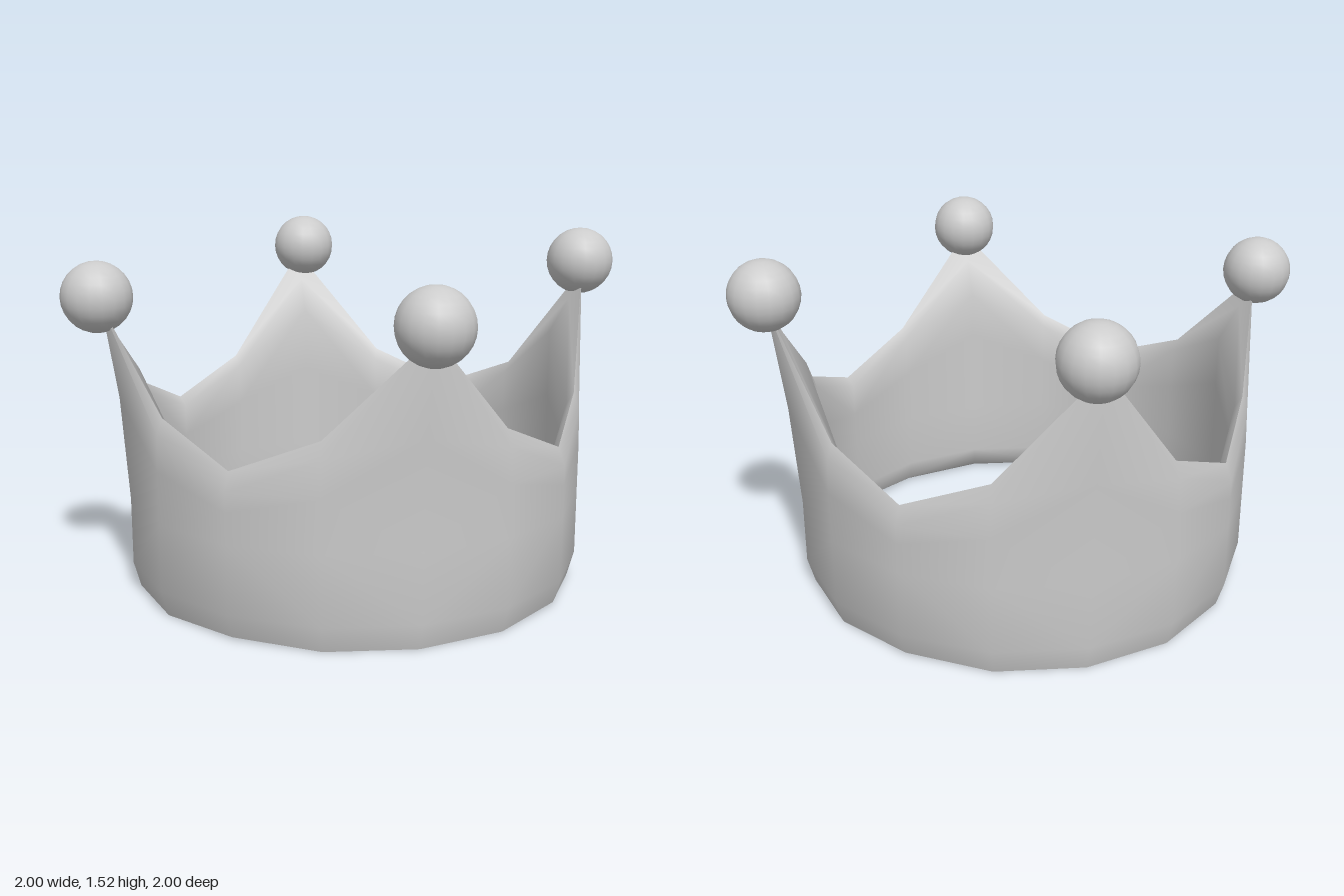
import * as THREE from 'three';
import { toCreasedNormals } from 'three/addons/utils/BufferGeometryUtils.js';

const SIDES = 16;

// Closed cross-section [radius, y] of the band, running up the outside and down the inside
function section(i, back) {
  const kind = i % 4; // 0 valley, 1 and 3 shoulder, 2 peak
  let top;
  if (kind === 2) {
    const tip = back ? 1.33 : 1.25;
    top = [[1.03, 0.85], [1.09, tip], [1.03, tip - 0.13], [0.94, tip - 0.28], [0.94, 0.75]];
  } else if (kind === 0) {
    top = [[1, 0.53], [1, 0.61], [0.97, 0.69], [0.94, 0.65], [0.94, 0.5]];
  } else {
    top = [[1, 0.62], [0.995, 0.77], [0.97, 0.84], [0.94, 0.79], [0.94, 0.6]];
  }
  const bottom = kind === 0 ? 0.01 : 0;
  return [[0.97, bottom], [1, 0.11], [1, 0.4], ...top, [0.94, 0.35], [0.94, 0.1], [0.95, bottom + 0.015]];
}

function bandGeometry() {
  const positions = [], index = [];
  let n = 0;
  for (let i = 0; i < SIDES; i++) {
    const a = (i / SIDES) * Math.PI * 2;
    const ring = section(i, Math.cos(a) < 0);
    n = ring.length;
    for (const [r, y] of ring) positions.push(r * Math.sin(a), y, r * Math.cos(a));
  }
  for (let i = 0; i < SIDES; i++) {
    for (let j = 0; j < n; j++) {
      const a = i * n + j, b = i * n + ((j + 1) % n);
      const c = ((i + 1) % SIDES) * n + j, d = ((i + 1) % SIDES) * n + ((j + 1) % n);
      // mirror the quad diagonals about each peak
      if (i % 4 < 2) index.push(a, c, b, c, d, b);
      else index.push(a, c, d, a, d, b);
    }
  }
  const g = new THREE.BufferGeometry();
  g.setAttribute('position', new THREE.Float32BufferAttribute(positions, 3));
  g.setIndex(index);
  return toCreasedNormals(g, 1.1);
}

export function createModel() {
  const crown = new THREE.Group();
  crown.name = 'crown';
  const material = new THREE.MeshStandardMaterial({ color: 0xcccccc, side: THREE.DoubleSide });

  // Sixteen-sided band with four outward-leaning peaks
  const band = new THREE.Mesh(bandGeometry(), material);
  band.name = 'band';
  crown.add(band);

  // A ball on each peak, the back pair slightly higher
  const ballGeometry = new THREE.SphereGeometry(0.15, 18, 14);
  for (const side of [-1, 1]) {
    for (const back of [false, true]) {
      const ball = new THREE.Mesh(ballGeometry, material);
      ball.name = (back ? 'back' : 'front') + (side > 0 ? 'Left' : 'Right') + 'Ball';
      if (back) ball.position.set(side * 0.75, 1.37, -0.795);
      else ball.position.set(side * 0.78, 1.285, 0.785);
      crown.add(ball);
    }
  }
  return crown;
}
